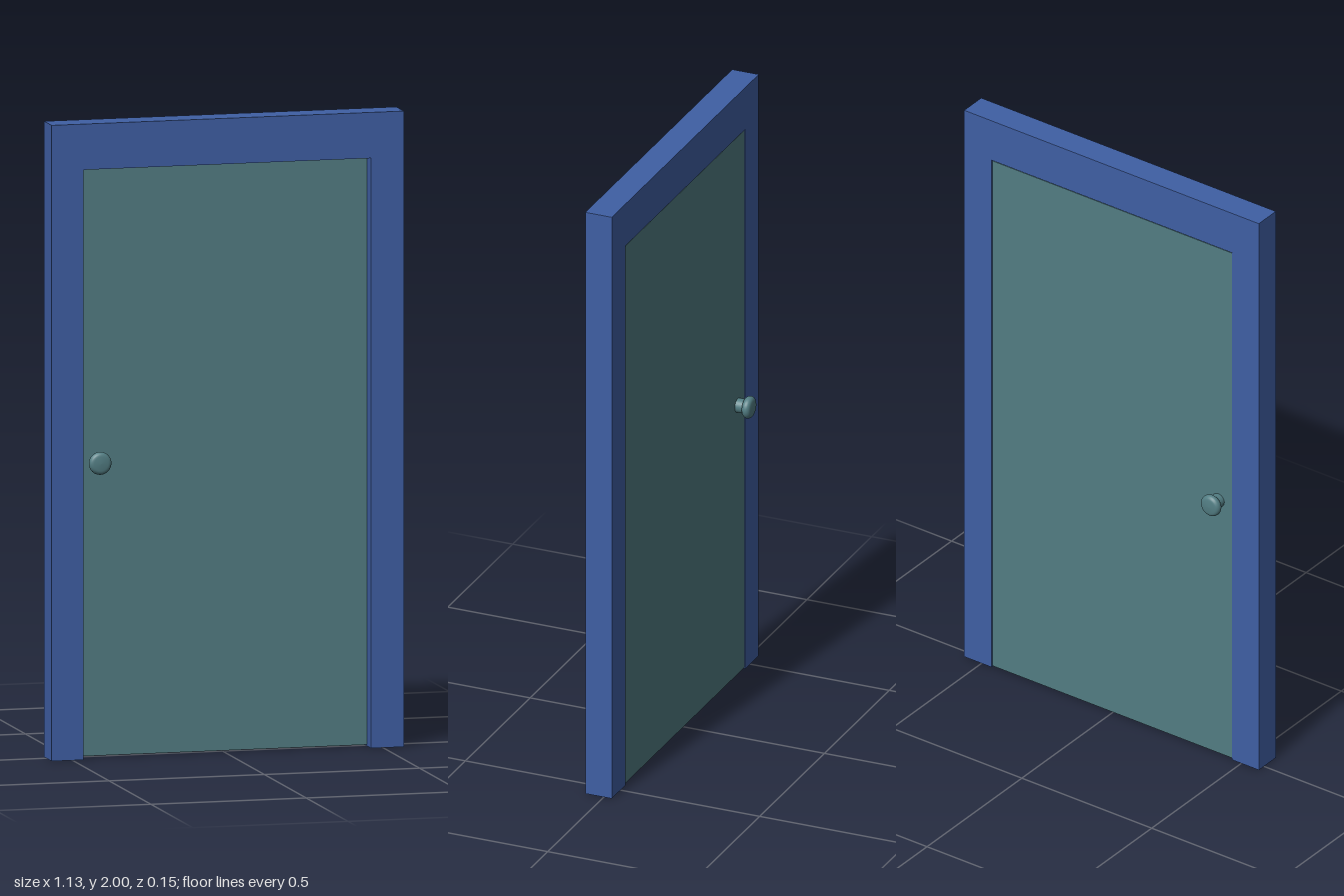
import * as THREE from 'three';

export function createModel() {
  const model = new THREE.Group();
  model.name = 'door';
  const frameBlue = new THREE.MeshStandardMaterial({ color: 0x3f5fa4 });
  frameBlue.name = 'frameBlue';
  const doorTeal = new THREE.MeshStandardMaterial({ color: 0x527d83 });
  doorTeal.name = 'doorTeal';

  const add = (name, geometry, material, parent = model) => {
    const mesh = new THREE.Mesh(geometry, material);
    mesh.name = name;
    parent.add(mesh);
    return mesh;
  };

  // Frame: two jambs and a header, open at the bottom
  const outline = new THREE.Shape([
    [-0.567, 0], [-0.464, 0], [-0.464, 1.856], [0.461, 1.856],
    [0.461, 0], [0.567, 0], [0.567, 2], [-0.567, 2],
  ].map(([x, y]) => new THREE.Vector2(x, y)));
  const frame = add('frame', new THREE.ExtrudeGeometry(outline, { depth: 0.09, bevelEnabled: false }), frameBlue);
  frame.position.z = -0.027;

  // Door panel, nearly flush with the back of the frame
  const doorZ = -0.002;
  const panel = add('doorPanel', new THREE.BoxGeometry(0.921, 1.848, 0.046), doorTeal);
  panel.position.set(-0.0015, 0.929, doorZ);

  // Knob profile: straight neck, then a flattened round head
  const profile = [[0.023, 0.018], [0.023, 0.047]];
  for (let i = 0; i <= 10; i++) {
    const a = -Math.PI / 2 + (Math.PI * i) / 10;
    profile.push([0.022 + 0.014 * Math.cos(a), 0.061 + 0.014 * Math.sin(a)]);
  }
  profile.push([0.012, 0.0765], [0, 0.077]);
  const knobGeometry = new THREE.LatheGeometry(profile.map(([r, h]) => new THREE.Vector2(r, h)), 32);
  knobGeometry.rotateX(Math.PI / 2);

  // One knob on each side of the door
  for (const side of ['front', 'back']) {
    const knob = add(side + 'Knob', knobGeometry, doorTeal);
    knob.position.set(-0.41, 0.93, doorZ);
    if (side === 'back') knob.rotation.y = Math.PI;
  }
  return model;
}
